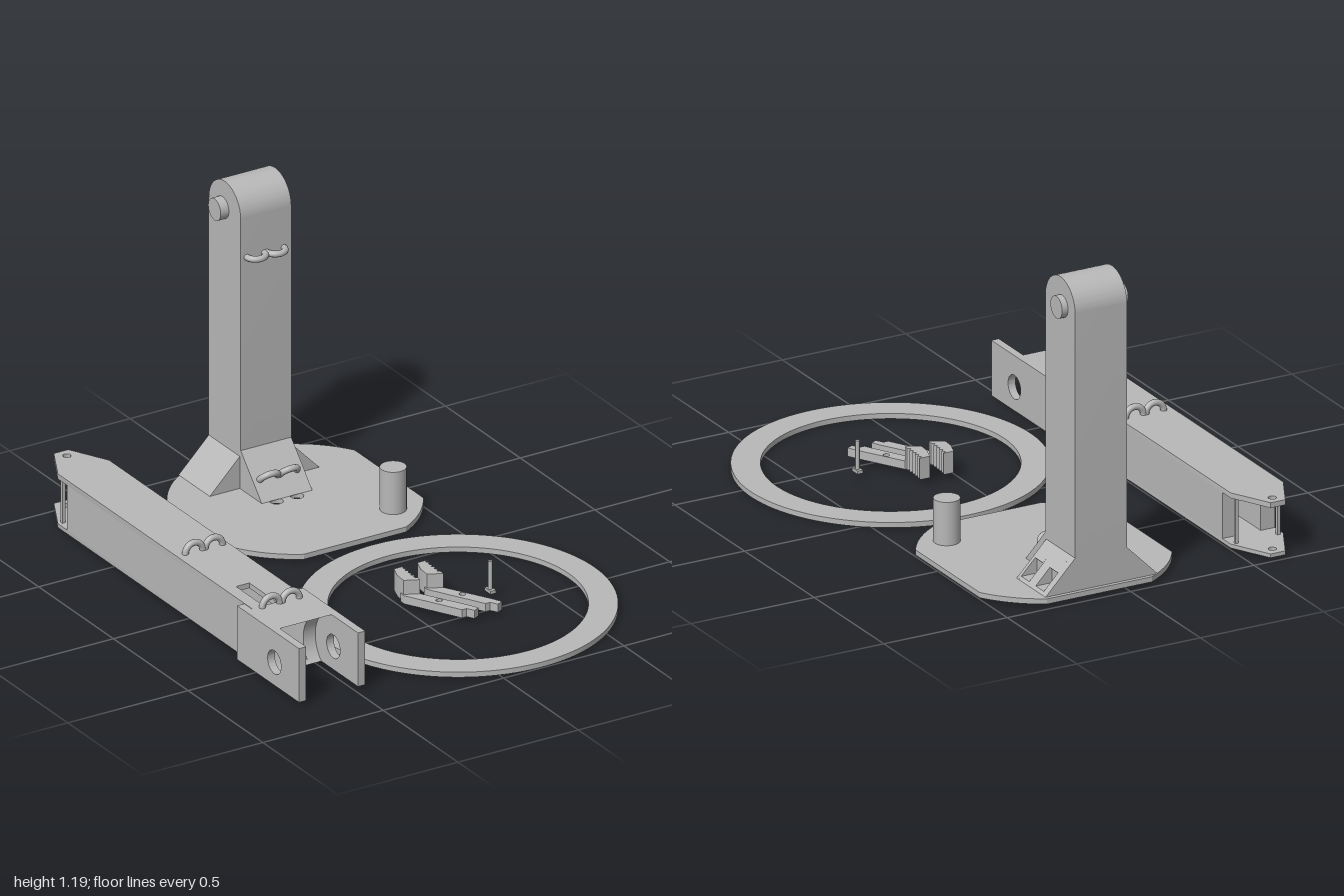
import * as THREE from 'three';
import { toCreasedNormals } from 'three/addons/utils/BufferGeometryUtils.js';

const grey = new THREE.MeshStandardMaterial({ color: 0xb8b8b8 });
grey.name = 'plain grey';

function add(parent, name, geometry) {
  const mesh = new THREE.Mesh(geometry, grey);
  mesh.name = name;
  parent.add(mesh);
  return mesh;
}

function group(parent, name) {
  const g = new THREE.Group();
  g.name = name;
  parent.add(g);
  return g;
}

// Box from its limits on each axis
function box(parent, name, x0, x1, y0, y1, z0, z1) {
  const m = add(parent, name, new THREE.BoxGeometry(x1 - x0, y1 - y0, z1 - z0));
  m.position.set((x0 + x1) / 2, (y0 + y1) / 2, (z0 + z1) / 2);
  return m;
}

const outline = (pts) => new THREE.Shape(pts.map((p) => new THREE.Vector2(p[0], p[1])));
const circle = (x, y, r) => new THREE.Path().absarc(x, y, r, 0, Math.PI * 2, true);
const rect = (x0, x1, y0, y1) =>
  new THREE.Path([[x0, y0], [x0, y1], [x1, y1], [x1, y0]].map((p) => new THREE.Vector2(...p)));

function extrude(shape, depth) {
  const g = new THREE.ExtrudeGeometry(shape, { depth, bevelEnabled: false, curveSegments: 32 });
  return toCreasedNormals(g, 0.5);
}

// Plan drawn in (x, z), filled from y0 to y1
function plan(parent, name, shape, y0, y1) {
  const g = extrude(shape, y1 - y0).rotateX(Math.PI / 2).translate(0, y1, 0);
  return add(parent, name, g);
}

// Side profile drawn in (z, y), filled from x0 to x1
function side(parent, name, shape, x0, x1) {
  const g = extrude(shape, x1 - x0).rotateY(-Math.PI / 2).translate(x1, 0, 0);
  return add(parent, name, g);
}

// Pair of half-ring cable loops; tilt turns them from upright towards the front
function loops(parent, x, y, z, tilt) {
  const g = group(parent, 'cableLoops');
  for (const s of [-1, 1]) {
    const m = add(g, 'cableLoop', new THREE.TorusGeometry(0.036, 0.012, 10, 20, Math.PI));
    m.position.x = s * 0.041;
  }
  g.position.set(x, y, z);
  g.rotation.x = tilt;
}

function buildRing(root) {
  const s = new THREE.Shape().absarc(0.165, 0.43, 0.565, 0, Math.PI * 2, false);
  s.holes.push(circle(0.165, 0.43, 0.46));
  const g = new THREE.ExtrudeGeometry(s, { depth: 0.02, bevelEnabled: false, curveSegments: 72 });
  g.rotateX(Math.PI / 2).translate(0, 0.02, 0);
  add(root, 'flatRing', toCreasedNormals(g, 0.5));
}

function buildStand(root) {
  const stand = group(root, 'stand');

  // Base: a disc clipped by a rectangle
  const cx = 0.115, cz = -0.58, r = 0.453;
  const a = Math.acos(0.39 / r), b = Math.asin(0.4 / r);
  const pts = [];
  for (let q = 0; q < 4; q++) {
    const [from, to] = q % 2 ? [Math.PI / 2 - b, Math.PI / 2 - a] : [a, b];
    for (let i = 0; i <= 8; i++) {
      const t = q * Math.PI / 2 + from + (to - from) * i / 8;
      pts.push([cx + r * Math.cos(t), cz + r * Math.sin(t)]);
    }
  }
  const base = outline(pts);
  base.holes.push(circle(0.05, -0.6, 0.024), circle(0.135, -0.6, 0.024), rect(0.03, 0.17, -0.92, -0.81));
  plan(stand, 'basePlate', base, 0.01, 0.03);

  // Column with a rounded top
  const col = new THREE.Shape();
  col.moveTo(-0.965, 0.03);
  col.lineTo(-0.751, 0.03);
  col.lineTo(-0.751, 1.083);
  col.absarc(-0.858, 1.083, 0.107, 0, Math.PI, false);
  col.closePath();
  side(stand, 'column', col, -0.005, 0.205);
  const axle = add(stand, 'axle', new THREE.CylinderGeometry(0.042, 0.042, 0.268, 32));
  axle.rotation.z = Math.PI / 2;
  axle.position.set(0.095, 1.083, -0.872);

  // Front ramp
  side(stand, 'frontRamp', outline([[-0.751, 0.03], [-0.61, 0.03], [-0.751, 0.18]]), -0.005, 0.205);
  loops(stand, 0.097, 0.93, -0.751, Math.PI / 2);
  loops(stand, 0.097, 0.095, -0.665, Math.PI / 4);

  // Side gussets; the one on the left has two square pockets
  const wedge = (name, p, z0, z1) =>
    add(stand, name, extrude(outline(p), z1 - z0).translate(0, 0, z0));
  wedge('rightGusset', [[-0.13, 0.03], [-0.005, 0.03], [-0.005, 0.155]], -0.965, -0.757);
  const full = [[0.205, 0.03], [0.325, 0.03], [0.205, 0.155]];
  const cut = [[0.205, 0.03], [0.325, 0.03], [0.315, 0.04], [0.25, 0.04], [0.25, 0.1], [0.258, 0.1], [0.205, 0.155]];
  const zs = [-0.965, -0.935, -0.877, -0.83, -0.772, -0.757];
  for (let i = 0; i < 5; i++) wedge('leftGusset', i % 2 ? cut : full, zs[i], zs[i + 1]);

  const post = add(stand, 'basePost', new THREE.CylinderGeometry(0.048, 0.048, 0.165, 32));
  post.position.set(0.367, 0.1125, -0.33);
}

function buildArm(root) {
  const arm = group(root, 'hollowArm');
  const x0 = -0.703, x1 = -0.49, mid = -0.597;
  const inner0 = -0.645, inner1 = -0.54, y0 = 0.015, y1 = 0.225, zJoin = 0.45;

  // Top and bottom plates with a tapered tip
  const plate = () => {
    const s = outline([[x0, zJoin], [x0, -0.85], [mid - 0.03, -1], [mid + 0.03, -1], [x1, -0.85], [x1, zJoin]]);
    s.holes.push(circle(mid, -0.96, 0.015));
    return s;
  };
  const top = plate();
  top.holes.push(rect(-0.655, -0.6, 0.265, 0.449));
  plan(arm, 'topPlate', top, 0.205, y1);
  plan(arm, 'bottomPlate', plate(), y0, 0.03);

  // Side walls and thin uprights near the tip
  box(arm, 'rightWall', x0, inner0, 0.03, 0.205, -0.79, zJoin);
  box(arm, 'leftWall', inner1, x1, 0.03, 0.205, -0.79, zJoin);
  for (const s of [-1, 1]) {
    const x = mid + s * 0.085;
    box(arm, 'tipUpright', x - 0.006, x + 0.006, 0.03, 0.205, -0.856, -0.844);
  }

  // Fork block, its end hollowed by a round clearance about the pivot
  const pz = 0.65, py = 0.105, r = 0.1205;
  const block = (name, ya, yb, xa, xb) => {
    const pts = [[zJoin, yb], [zJoin, ya]];
    for (let i = 0; i <= 20; i++) {
      const y = ya + (yb - ya) * i / 20;
      pts.push([pz - Math.sqrt(r * r - (y - py) ** 2), y]);
    }
    side(arm, name, outline(pts), xa, xb);
  };
  block('forkBlockRight', y0, y1, -0.706, inner0);
  block('forkBlockLeft', y0, y1, inner1, -0.489);
  block('forkBlockTop', 0.205, y1, inner0, inner1);
  block('forkBlockBottom', y0, 0.03, inner0, inner1);

  // Fork cheeks with pivot holes
  for (const [a, b] of [[-0.735, -0.705], [-0.49, -0.46]]) {
    const s = outline([[0.4, y0], [0.815, y0], [0.815, y1], [0.4, y1]]);
    s.holes.push(circle(pz, py, 0.045));
    side(arm, 'forkCheek', s, a, b);
  }

  loops(arm, -0.59, y1, 0.46, 0);
  loops(arm, -0.59, y1, -0.055, 0);
}

function buildClaws(root) {
  for (const dx of [0, 0.097]) {
    const claw = group(root, 'claw');
    const body = outline([[0, 0.31], [0.055, 0.345], [0.155, 0.52], [0.172, 0.555], [0.148, 0.568],
      [0.132, 0.54], [0.113, 0.54], [0, 0.335]]);
    body.holes.push(circle(0.086, 0.43, 0.012));
    plan(claw, 'clawBody', body, 0.02, 0.052);

    // Tall jaw with a toothed gripping edge
    const jaw = [[0.056, 0.35], [0.004, 0.325], [0.006, 0.28], [0.025, 0.226], [0.066, 0.226]];
    for (let i = 0; i < 5; i++) {
      jaw.push([0.052 - i * 0.001, 0.236 + i * 0.021], [0.062 - i * 0.001, 0.247 + i * 0.021]);
    }
    plan(claw, 'clawJaw', outline(jaw), 0.025, 0.107);
    claw.position.x = dx;
  }

  // Loose pin
  const pin = group(root, 'loosePin');
  box(pin, 'pinHead', 0.3, 0.322, 0.02, 0.032, 0.39, 0.43);
  const rod = add(pin, 'pinRod', new THREE.CylinderGeometry(0.008, 0.008, 0.11, 12));
  rod.position.set(0.311, 0.086, 0.41);
}

export function createModel() {
  const root = new THREE.Group();
  root.name = 'armKit';
  buildRing(root);
  buildStand(root);
  buildArm(root);
  buildClaws(root);
  return root;
}
